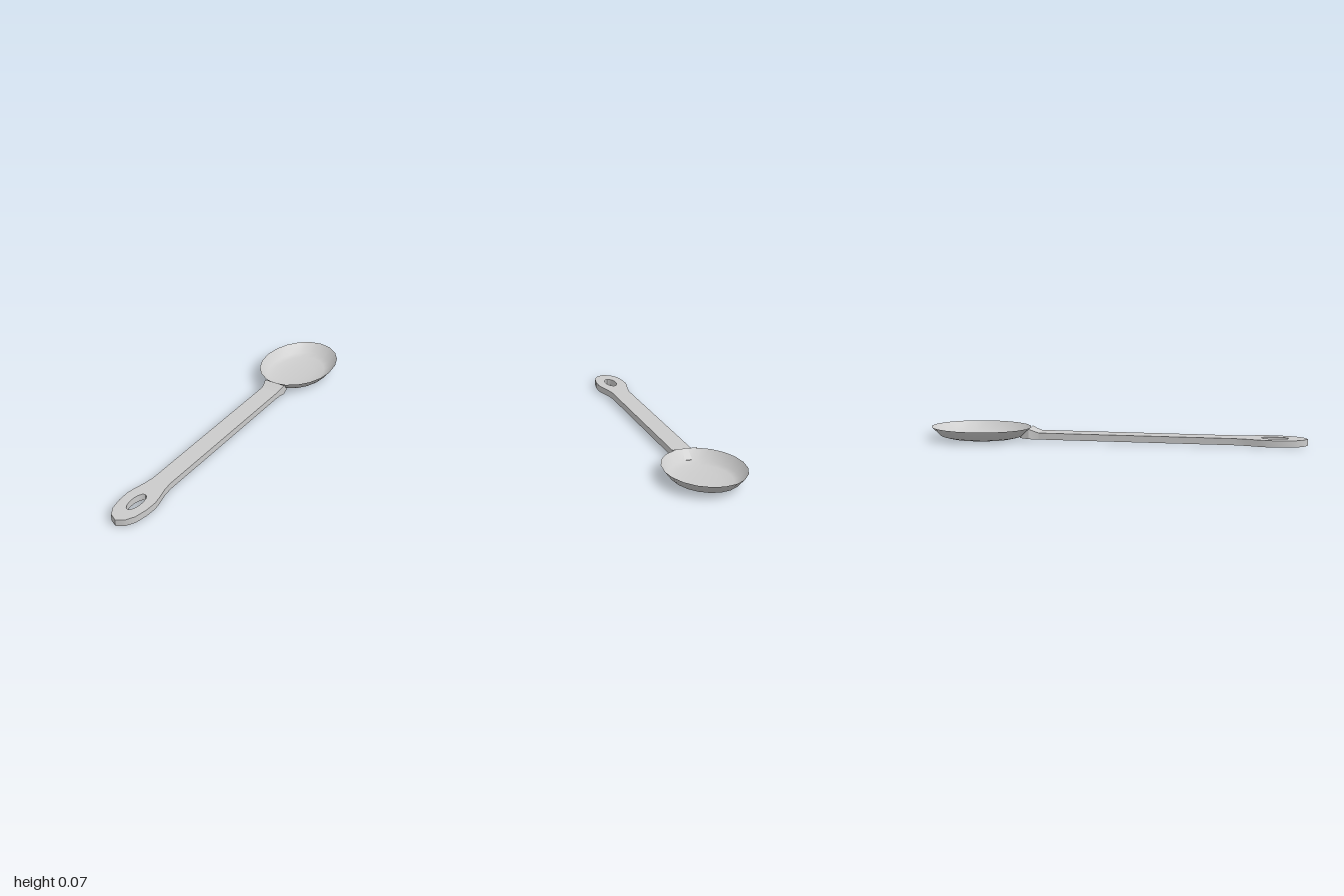
import * as THREE from 'three';
import { toCreasedNormals } from 'three/addons/utils/BufferGeometryUtils.js';

const material = new THREE.MeshStandardMaterial({ color: 0xcccccc, side: THREE.DoubleSide });

function part(name, geometry) {
  const mesh = new THREE.Mesh(geometry, material);
  mesh.name = name;
  return mesh;
}

// Thin oval bowl: a lathed profile stretched along z
function bowl() {
  const profile = [[0, 0.003], [0.045, 0.0035], [0.085, 0.006], [0.135, 0.012], [0.163, 0.022], [0.2, 0.07]]
    .map(([r, y]) => new THREE.Vector2(r, y));
  const geo = new THREE.LatheGeometry(profile, 20);
  geo.scale(1, 1, 1.35);
  geo.translate(0, 0, -0.73);
  geo.computeVertexNormals();
  return part('bowl', toCreasedNormals(geo, 0.9));
}

// Flat handle with a widened end and a hanging hole, rising gently to the bowl
function handle() {
  const side = [[0.05, -0.41], [0.05, 0.62], [0.058, 0.68], [0.073, 0.74], [0.082, 0.79],
    [0.08, 0.86], [0.067, 0.93], [0.042, 0.975]];
  const outline = [...side, [0, 1], ...side.map(([x, z]) => [-x, z]).reverse()];
  const shape = new THREE.Shape(outline.map(([x, z]) => new THREE.Vector2(x, -z)));
  const hole = [];
  for (let i = 0; i < 14; i++) {
    const a = (i / 14) * Math.PI * 2;
    hole.push(new THREE.Vector2(0.03 * Math.sin(a), -0.83 + 0.072 * Math.cos(a)));
  }
  shape.holes.push(new THREE.Path(hole));
  const geo = new THREE.ExtrudeGeometry(shape, { depth: 0.035, bevelEnabled: false });
  geo.rotateX(-Math.PI / 2);
  const pos = geo.attributes.position;
  for (let i = 0; i < pos.count; i++) {
    const t = (1 - pos.getZ(i)) / 1.41;
    pos.setY(i, pos.getY(i) + 0.005 + 0.009 * t);
  }
  return part('handle', toCreasedNormals(geo, 0.6));
}

// Flared neck that climbs to the rim and slopes down inside the bowl
function neck() {
  // z, half width, top, bottom
  const stations = [[-0.41, 0.05, 0.049, 0.014], [-0.44, 0.054, 0.06, 0.015],
    [-0.463, 0.062, 0.07, 0.017], [-0.51, 0.05, 0.026, 0.02]];
  const points = stations.flatMap(([z, w, top, bottom]) =>
    [w, bottom, z, w, top, z, -w, top, z, -w, bottom, z]);
  const index = [];
  for (let s = 0; s < stations.length - 1; s++) {
    for (let k = 0; k < 4; k++) {
      const a = s * 4 + k, b = s * 4 + (k + 1) % 4;
      index.push(a, a + 4, b, b, a + 4, b + 4);
    }
  }
  const e = (stations.length - 1) * 4;
  index.push(e, e + 3, e + 2, e, e + 2, e + 1);
  const geo = new THREE.BufferGeometry();
  geo.setAttribute('position', new THREE.Float32BufferAttribute(points, 3));
  geo.setIndex(index);
  geo.computeVertexNormals();
  return part('neck', toCreasedNormals(geo, 0.5));
}

export function createModel() {
  const spoon = new THREE.Group();
  spoon.name = 'spoon';
  spoon.add(bowl(), handle(), neck());
  return spoon;
}
